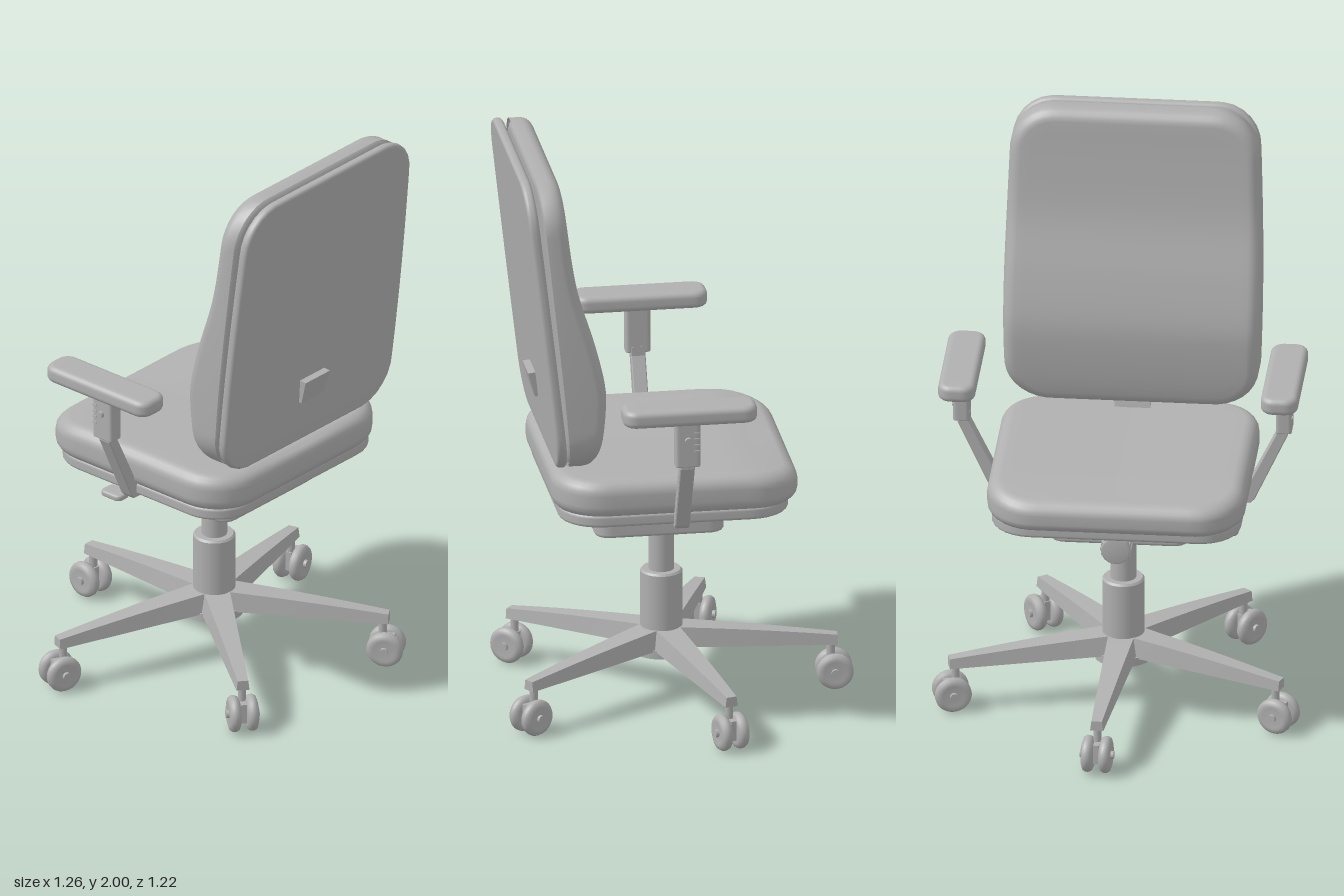
import * as THREE from 'three';

const CX = -0.01, CZ = 0.045; // column axis
const grey = new THREE.MeshStandardMaterial({ color: 0xb0b0b0 });
grey.name = 'plain grey';

function add(parent, name, geometry, x = 0, y = 0, z = 0) {
  const mesh = new THREE.Mesh(geometry, grey);
  mesh.name = name;
  mesh.position.set(x, y, z);
  parent.add(mesh);
  return mesh;
}

// Moves every vertex by a rule, then refreshes the normals
function reshape(geometry, rule) {
  const p = geometry.attributes.position, v = new THREE.Vector3();
  for (let i = 0; i < p.count; i++) {
    v.fromBufferAttribute(p, i);
    rule(v);
    p.setXYZ(i, v.x, v.y, v.z);
  }
  geometry.computeVertexNormals();
  return geometry;
}

// Evenly spaced points on a rounded rectangle, anticlockwise
function outline(w, h, r, n) {
  const x = w / 2, y = h / 2, s = new THREE.Shape();
  s.moveTo(x, 0);
  s.lineTo(x, y - r);
  s.absarc(x - r, y - r, r, 0, Math.PI / 2);
  s.absarc(-x + r, y - r, r, Math.PI / 2, Math.PI);
  s.absarc(-x + r, -y + r, r, Math.PI, Math.PI * 1.5);
  s.absarc(x - r, -y + r, r, Math.PI * 1.5, Math.PI * 2);
  s.lineTo(x, 0);
  return s.getSpacedPoints(n).slice(0, n);
}

// Soft slab: outline in xy, depth 0..d in z, rounded edges, gridded faces
function pad(w, h, d, r, bevel, rings = 8, n = 96) {
  const rows = [];
  for (let i = 0; i < rings; i++) rows.push([bevel, 0, i / rings]);
  for (let i = 0; i <= 5; i++) {
    const a = i / 5 * Math.PI / 2;
    rows.push([bevel * (1 - Math.sin(a)), bevel * (1 - Math.cos(a)), 1]);
  }
  for (const [inset, z, s] of rows.slice().reverse()) rows.push([inset, d - z, s]);
  const pos = [], idx = [];
  rows.forEach(([inset, z, s], i) => {
    outline(w - 2 * inset, h - 2 * inset, Math.max(r - inset, 0.004), n)
      .forEach(p => pos.push(p.x * s, p.y * s, z));
    if (i === rows.length - 1) return;
    for (let j = 0; j < n; j++) {
      const a = i * n + j, b = i * n + (j + 1) % n;
      idx.push(a, b, a + n, b, b + n, a + n);
    }
  });
  const g = new THREE.BufferGeometry();
  g.setAttribute('position', new THREE.Float32BufferAttribute(pos, 3));
  g.setIndex(idx);
  g.computeVertexNormals();
  return g;
}
const flatPad = (...args) => pad(...args).rotateX(-Math.PI / 2);

function cylinder(r1, r2, h, sides = 32) {
  return new THREE.CylinderGeometry(r1, r2, h, sides);
}

function buildBase(chair) {
  const base = new THREE.Group();
  base.name = 'base';
  base.position.set(CX, 0, CZ);
  chair.add(base);
  add(base, 'hubPlate', cylinder(0.1, 0.1, 0.03), 0, 0.168, 0);
  add(base, 'hub', cylinder(0.075, 0.095, 0.07), 0, 0.21, 0);
  add(base, 'columnSleeve', new THREE.LatheGeometry([[0, 0.23], [0.072, 0.23], [0.072, 0.23], [0.072, 0.443],
    [0.072, 0.443], [0.066, 0.45], [0.066, 0.45], [0.04, 0.45]].map(p => new THREE.Vector2(...p)), 40));
  add(base, 'gasColumn', cylinder(0.044, 0.044, 0.24), 0, 0.55, 0);

  // Five tapering legs, each with a twin-wheel castor
  for (let i = 0; i < 5; i++) {
    const leg = new THREE.Group();
    leg.name = 'leg';
    leg.rotation.y = THREE.MathUtils.degToRad(86.6 - i * 72);
    base.add(leg);
    add(leg, 'legArm', reshape(new THREE.BoxGeometry(1, 1, 1, 8, 1, 1), v => {
      const t = v.x + 0.5, top = v.y > 0;
      v.x = 0.02 + t * 0.58;
      v.z *= (0.115 - 0.07 * t) * (top ? 0.8 : 1);
      v.y = top ? 0.25 - 0.045 * t - 0.015 * t * t : 0.18 - 0.025 * t;
    }));
    const castor = new THREE.Group();
    castor.name = 'castor';
    castor.position.set(0.59, 0.063, 0);
    leg.add(castor);
    add(castor, 'castorStem', cylinder(0.014, 0.014, 0.11, 16), -0.012, 0.065, 0);
    add(castor, 'castorBody', new THREE.BoxGeometry(0.06, 0.07, 0.02), 0, 0.01, 0);
    add(castor, 'axle', cylinder(0.014, 0.014, 0.116, 16).rotateX(Math.PI / 2));
    const profile = [[0, -0.02], [0.045, -0.02], [0.058, -0.014], [0.063, -0.004],
      [0.063, 0.006], [0.057, 0.016], [0.042, 0.021], [0.036, 0.016], [0, 0.018]];
    for (const s of [-1, 1]) {
      const wheel = new THREE.LatheGeometry(profile.map(p => new THREE.Vector2(...p)), 32);
      add(castor, 'wheel', wheel.rotateX(s * Math.PI / 2), 0, 0, s * 0.03);
    }
  }
}

function buildSeat(chair) {
  // Cushion with a front edge that rolls down
  const seat = flatPad(0.88, 0.845, 0.135, 0.17, 0.048);
  add(chair, 'seatCushion', reshape(seat, v => {
    const f = Math.max(0, -v.z - 0.17) / 0.25;
    v.y -= 0.03 * f * f * (v.y / 0.135);
    if (v.y > 0.12) v.y -= 0.008 * (1 - Math.min(1, Math.abs(v.x) / 0.4));
  }), CX, 0.8, 0.044);
  add(chair, 'seatPan', flatPad(0.85, 0.79, 0.045, 0.14, 0.012), CX, 0.769, 0.05);

  // Tilt mechanism under the seat
  add(chair, 'mechanismBox', flatPad(0.475, 0.445, 0.1, 0.05, 0.012), CX, 0.656, 0.083);
  add(chair, 'mechanismMount', new THREE.BoxGeometry(0.34, 0.03, 0.32), CX, 0.765, 0.08);
  for (const x of [-0.18, 0.18]) for (const z of [-0.09, 0.25])
    add(chair, 'screw', cylinder(0.011, 0.011, 0.016, 12), CX + x, 0.652, z);

  // Tension knob
  add(chair, 'knobShaft', cylinder(0.018, 0.018, 0.06, 16).rotateX(Math.PI / 2), CX, 0.685, -0.15);
  add(chair, 'tensionKnob', new THREE.LatheGeometry([[0, -0.043], [0.044, -0.043], [0.05, -0.036], [0.05, 0.02],
    [0.042, 0.036], [0.038, 0.043], [0, 0.043]].map(p => new THREE.Vector2(...p)), 24).rotateX(Math.PI / 2), CX, 0.685, -0.207);
  for (let i = 0; i < 16; i++) {
    const a = i / 16 * Math.PI * 2;
    add(chair, 'knobRib', cylinder(0.005, 0.005, 0.05, 8).rotateX(Math.PI / 2),
      CX + 0.049 * Math.cos(a), 0.685 + 0.049 * Math.sin(a), -0.21);
  }

  // Height lever on one side
  const path = new THREE.CatmullRomCurve3([[-0.23, 0.712, -0.07], [-0.3, 0.712, -0.07], [-0.37, 0.706, -0.07]]
    .map(p => new THREE.Vector3(...p)));
  add(chair, 'leverRod', new THREE.TubeGeometry(path, 12, 0.008, 10));
  add(chair, 'leverPaddle', flatPad(0.065, 0.09, 0.022, 0.02, 0.008, 2, 32), -0.383, 0.695, -0.075);
}

function buildBack(chair) {
  const H = 1.045, Y = 1.478;
  const widen = v => { v.x *= 1 + 0.03 * Math.cos((v.y + 0.12) * 3); };

  // Thin leaning outer shell
  add(chair, 'backShell', reshape(pad(0.845, H, 0.036, 0.14, 0.014), v => {
    widen(v);
    v.z += 0.482 + v.y * 0.115;
  }), CX, Y, 0);

  // Cushion, thickest at the lumbar area
  const front = new THREE.SplineCurve([[-0.53, 0.335], [-0.43, 0.312], [-0.3, 0.298], [-0.2, 0.3],
    [-0.05, 0.335], [0.15, 0.395], [0.35, 0.426], [0.53, 0.444]].map(p => new THREE.Vector2(...p)));
  const samples = front.getPoints(100);
  const frontZ = y => {
    const k = Math.max(1, samples.findIndex(p => p.x >= y));
    const a = samples[k - 1], b = samples[k];
    return THREE.MathUtils.mapLinear(y, a.x, b.x, a.y, b.y);
  };
  add(chair, 'backCushion', reshape(pad(0.85, H, 1, 0.15, 0.04, 14, 120), v => {
    // keep rounded edges a constant depth while the core follows the profile
    const back = 0.472 + v.y * 0.1, depth = back - frontZ(v.y);
    const e = 0.04;
    const t = v.z < e ? v.z : v.z > 1 - e ? depth - (1 - v.z) : v.z * depth;
    widen(v);
    v.z = back - depth + t;
    // reversed in depth: z = 1 is the side against the shell
  }), CX, Y, 0);

  // Bent bar joining mechanism and back, and its bracket
  const path = new THREE.CatmullRomCurve3([[0, 0.735, 0.28], [0, 0.745, 0.33], [0, 0.85, 0.365], [0, 0.97, 0.4],
    [0, 1.1, 0.455]].map(p => new THREE.Vector3(...p)));
  add(chair, 'backBar', reshape(new THREE.BoxGeometry(0.122, 1, 0.03, 1, 20, 1), v => {
    const t = v.y + 0.5, p = path.getPoint(t), d = path.getTangent(t);
    v.set(v.x, p.y - d.z * v.z, p.z + d.y * v.z);
  }), CX, 0, 0);
  const bracket = add(chair, 'backBracket', reshape(new THREE.BoxGeometry(0.125, 0.09, 0.05), v => {
    if (v.y < 0) { v.x *= 0.9; if (v.z > 0) v.z -= 0.014; }
  }), CX, 1.165, 0.482);
  bracket.rotation.x = 0.115;
}

function buildArm(chair, angle) {
  const arm = new THREE.Group();
  arm.name = angle ? 'rightArm' : 'leftArm';
  arm.position.set(CX, 0, 0.042);
  arm.rotation.y = angle;
  chair.add(arm);
  add(arm, 'armPad', flatPad(0.127, 0.46, 0.06, 0.045, 0.02), 0.55, 1.192, angle ? 0.007 : -0.007);
  add(arm, 'armPost', flatPad(0.054, 0.086, 0.165, 0.01, 0.004, 2, 48), 0.55, 1.032, 0);
  add(arm, 'postButton', cylinder(0.012, 0.012, 0.016, 16).rotateZ(Math.PI / 2), 0.582, 1.13, 0);
  for (let i = 0; i < 4; i++)
    add(arm, 'postNotch', new THREE.BoxGeometry(0.006, 0.006, 0.016), 0.578, 1.09 + i * 0.022, angle ? 0.03 : -0.03);
  const s = new THREE.Shape([[0.525, 1.05], [0.525, 1.02], [0.41, 0.785], [0.2, 0.785], [0.2, 0.762], [0.435, 0.762],
    [0.447, 0.775], [0.56, 1.02], [0.56, 1.05]].map(p => new THREE.Vector2(...p)));
  add(arm, 'armSupport', new THREE.ExtrudeGeometry(s, { depth: 0.044, bevelSize: 0.003, bevelThickness: 0.003, bevelSegments: 1 }),
    0, 0, -0.022);
}

export function createModel() {
  const chair = new THREE.Group();
  chair.name = 'officeChair';
  buildBase(chair);
  buildSeat(chair);
  buildBack(chair);
  buildArm(chair, 0);
  buildArm(chair, Math.PI);
  return chair;
}
